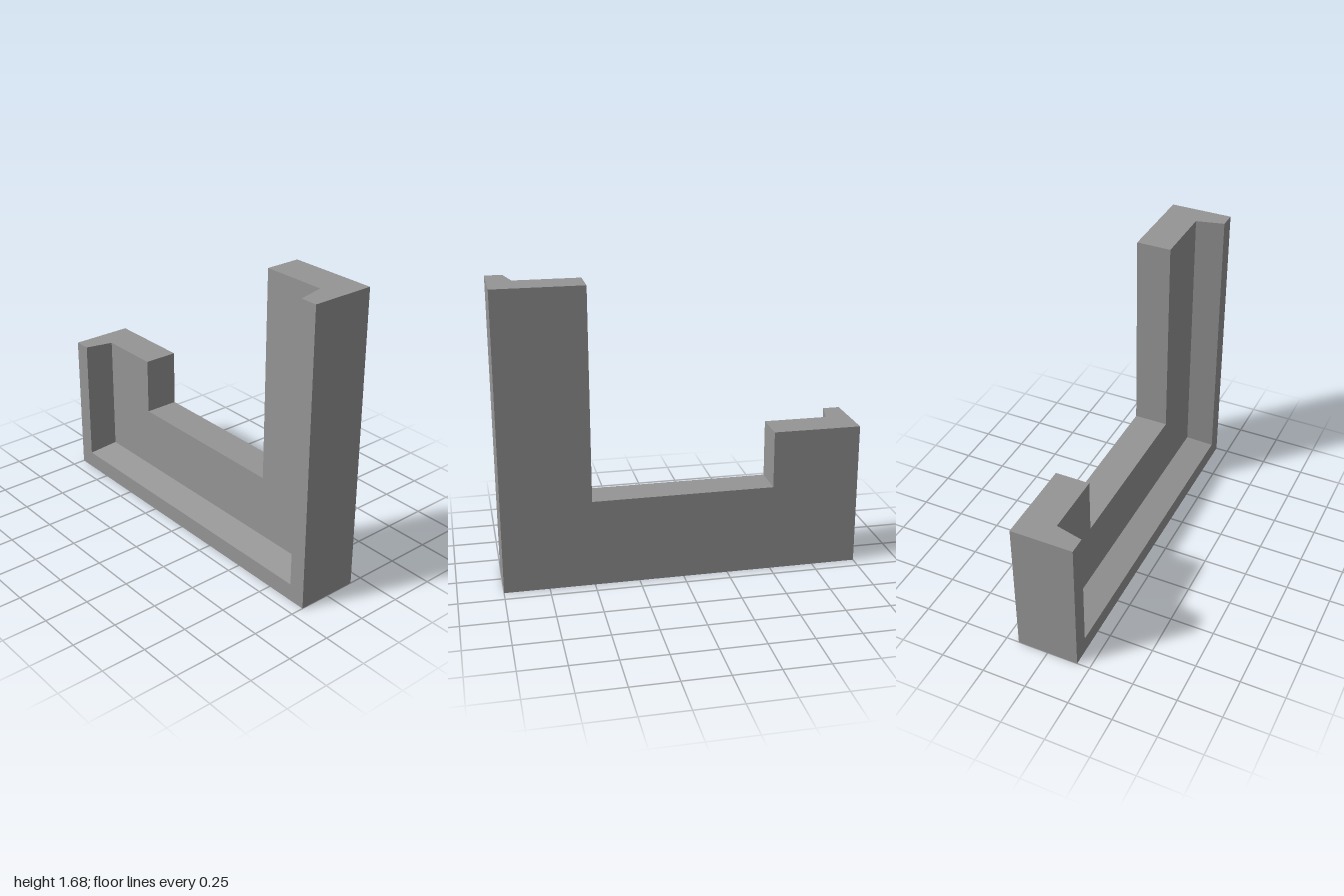
import * as THREE from 'three';

const FRONT = 0.176, FLOOR = 0.02, LEFT_TOP = 0.815, RIGHT_TOP = 1.677;

export function createModel() {
  const group = new THREE.Group();
  const material = new THREE.MeshStandardMaterial({ color: 0x959595, flatShading: true });
  const add = (name, geometry) => {
    const mesh = new THREE.Mesh(geometry, material);
    mesh.name = name;
    group.add(mesh);
  };

  // Back plate: a slab with one short and one tall arm
  const outline = [
    [-1, 0], [1, 0], [1, RIGHT_TOP], [0.506, RIGHT_TOP],
    [0.506, 0.493], [-0.508, 0.493], [-0.508, LEFT_TOP], [-1, LEFT_TOP],
  ].map(([x, y]) => new THREE.Vector2(x, y));
  const plate = new THREE.ExtrudeGeometry(new THREE.Shape(outline), {
    depth: FLOOR + FRONT, bevelEnabled: false,
  });
  plate.translate(0, 0, -FRONT);
  add('backPlate', plate);

  // Raised rim: a section with a sloping inner wall, mitred around three sides
  const section = [[0, 0, FLOOR], [0, 0, FRONT], [0.095, 0.098, FRONT], [0.132, 0.135, FLOOR]];
  const rings = [
    section.map(([dx, , z]) => [-1 + dx, LEFT_TOP, z]),
    section.map(([dx, dy, z]) => [-1 + dx, dy, z]),
    section.map(([dx, dy, z]) => [1 - dx, dy, z]),
    section.map(([dx, , z]) => [1 - dx, RIGHT_TOP, z]),
  ];
  const positions = [];
  const quad = (a, b, c, d) => positions.push(...a, ...b, ...c, ...a, ...c, ...d);
  for (let i = 0; i < 3; i++) {
    for (let k = 0; k < 4; k++) {
      const n = (k + 1) % 4;
      quad(rings[i][k], rings[i + 1][k], rings[i + 1][n], rings[i][n]);
    }
  }
  // End caps on top of both arms
  quad(...rings[0]);
  quad(...[...rings[3]].reverse());
  const rim = new THREE.BufferGeometry();
  rim.setAttribute('position', new THREE.Float32BufferAttribute(positions, 3));
  rim.computeVertexNormals();
  add('raisedRim', rim);

  return group;
}
